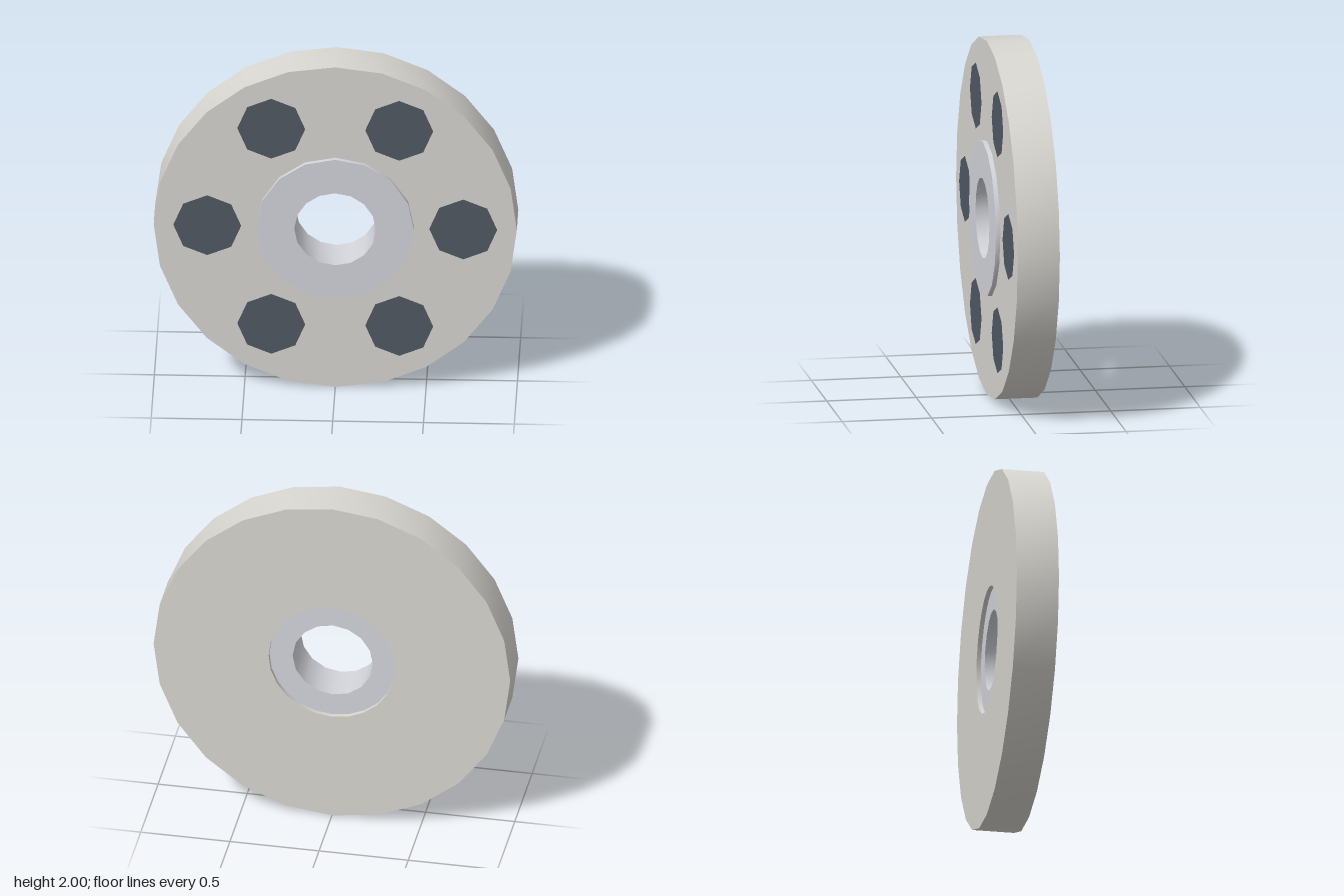
import * as THREE from 'three';
import { toCreasedNormals } from 'three/addons/utils/BufferGeometryUtils.js';

const DISC_FRONT = 0.105, DISC_BACK = -0.13;
const HUB_FRONT = 0.13, HUB_BACK = -0.105;

const material = (color) => new THREE.MeshStandardMaterial({ color });

// Turns a closed [radius, z] profile around the z axis
function turned(name, profile, sides, mat) {
  const points = profile.map(([r, z]) => new THREE.Vector2(r, z));
  points.push(points[0].clone());
  const geometry = new THREE.LatheGeometry(points, sides).rotateX(Math.PI / 2);
  const mesh = new THREE.Mesh(toCreasedNormals(geometry, 0.6), mat);
  mesh.name = name;
  return mesh;
}

export function createModel() {
  const model = new THREE.Group();
  model.name = 'wheelDisc';

  const wheel = new THREE.Group();
  wheel.name = 'wheel';
  wheel.position.y = 1;
  model.add(wheel);

  // Main disc with its central opening
  wheel.add(turned('disc', [
    [0.355, DISC_BACK], [1, DISC_BACK], [1, DISC_FRONT], [0.355, DISC_FRONT],
  ], 24, material(0xd8d6d0)));

  // Hub sleeve: raised flange in front, sunk slightly at the back
  wheel.add(turned('hub', [
    [0.225, HUB_BACK], [0.365, HUB_BACK], [0.365, 0.1], [0.435, 0.1],
    [0.435, HUB_FRONT], [0.225, HUB_FRONT],
  ], 16, material(0xd3d4da)));

  // Six dark octagonal spots around the front face
  const spotGeometry = new THREE.CircleGeometry(0.187, 8);
  const spotMaterial = material(0x505963);
  for (let i = 0; i < 6; i++) {
    const angle = (i * Math.PI) / 3;
    const spot = new THREE.Mesh(spotGeometry, spotMaterial);
    spot.name = `faceSpot${i + 1}`;
    spot.position.set(0.705 * Math.cos(angle), 0.705 * Math.sin(angle), DISC_FRONT + 0.002);
    wheel.add(spot);
  }

  return model;
}
